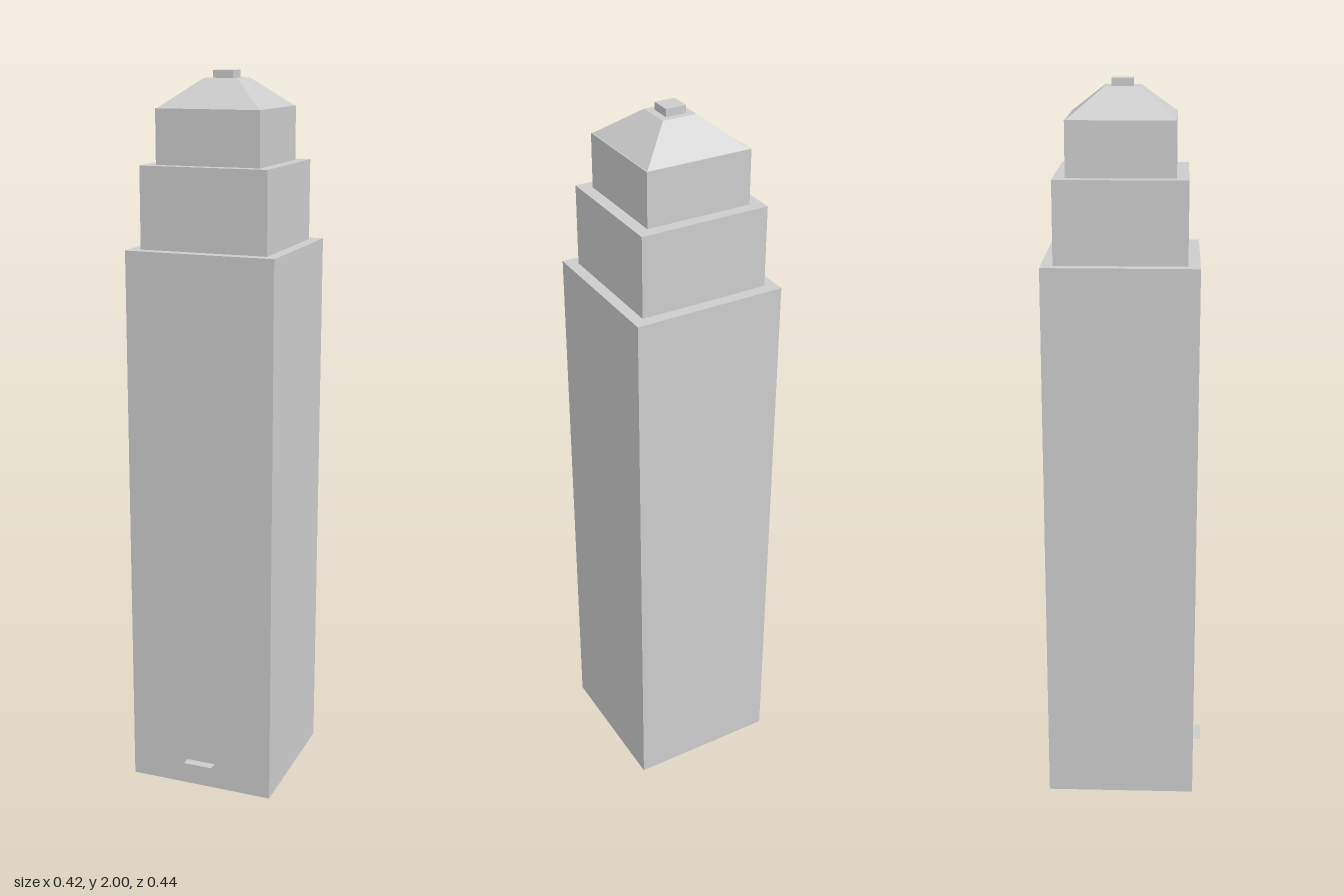
import * as THREE from 'three';

const CENTRE_Z = -0.0125;

// Four-sided block, open underneath; the top can be narrower than the bottom.
function openBlock(bottom, top, y0, y1) {
  const geometry = new THREE.BoxGeometry(2, y1 - y0, 2);
  const index = Array.from(geometry.index.array);
  index.splice(18, 6); // drop the underside
  geometry.setIndex(index);
  geometry.clearGroups();
  const p = geometry.attributes.position;
  for (let i = 0; i < p.count; i++) {
    const [hx, hz] = p.getY(i) > 0 ? top : bottom;
    p.setX(i, p.getX(i) * hx);
    p.setZ(i, p.getZ(i) * hz);
  }
  geometry.translate(0, (y0 + y1) / 2, CENTRE_Z);
  geometry.computeVertexNormals();
  return geometry;
}

export function createModel() {
  const group = new THREE.Group();
  const stone = new THREE.MeshStandardMaterial({ color: 0xcccccc, side: THREE.DoubleSide });
  stone.name = 'pale grey stone';

  const add = (name, geometry) => {
    const mesh = new THREE.Mesh(geometry, stone);
    mesh.name = name;
    group.add(mesh);
  };

  // Stacked tower sections: half sizes [x, z] at bottom and top, then heights
  const sections = [
    ['mainShaft', [0.209, 0.2075], [0.209, 0.2075], 0, 1.54],
    ['lowerSetback', [0.178, 0.1755], [0.178, 0.1755], 1.54, 1.76],
    ['upperSetback', [0.145, 0.1435], [0.145, 0.1435], 1.76, 1.905],
    ['slopedRoof', [0.142, 0.1405], [0.047, 0.047], 1.905, 1.98],
    ['roofCap', [0.028, 0.028], [0.028, 0.028], 1.98, 2],
  ];
  for (const [name, bottom, top, y0, y1] of sections) add(name, openBlock(bottom, top, y0, y1));

  // Thin canopy over the front entrance
  const canopy = new THREE.PlaneGeometry(0.084, 0.025);
  canopy.rotateX(-Math.PI / 2);
  canopy.translate(0, 0.075, 0.2075);
  add('entranceCanopy', canopy);

  return group;
}
